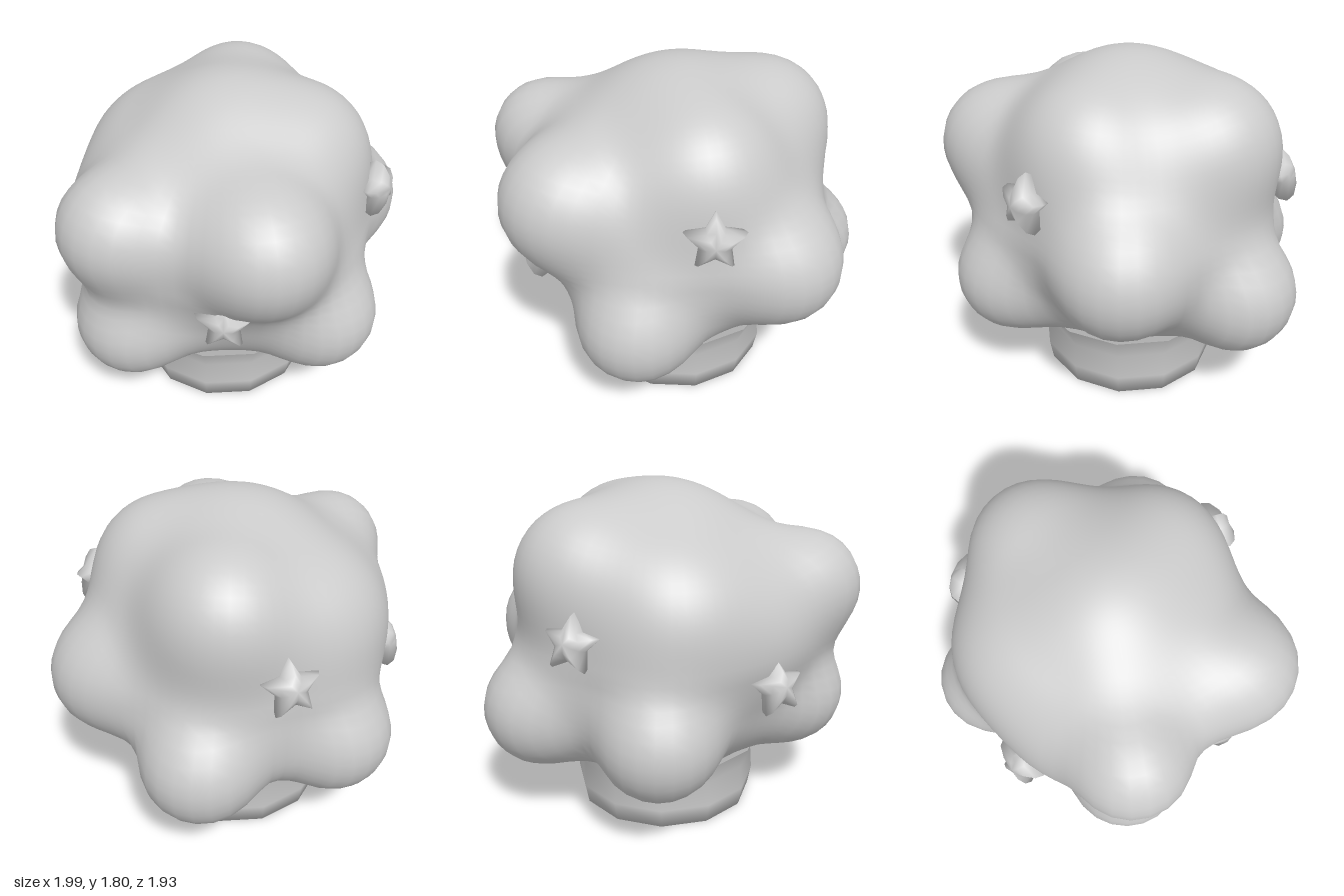
import * as THREE from 'three';
import { mergeVertices } from 'three/addons/utils/BufferGeometryUtils.js';

const material = new THREE.MeshStandardMaterial({ color: 0xcccccc });
const CORE = new THREE.Vector3(0.05, 1.0, 0);
const CORE_RADIUS = 0.67;
const UNDERSIDE = 0.36;
const BLEND = 0.25;
const TAPER = 0.13; // how much wider a lobe is at its root

// Rounded lobes pushed out of the core: centre x, y, z and radius
const LOBES = [
  [0.05, 0.72, 0, 0.56],      // belly above the trunk
  [0.05, 0.65, 0.65, 0.31],   // low front
  [0.05, 0.65, -0.66, 0.31],  // low back
  [-0.63, 0.65, -0.03, 0.31], // low side
  [0.68, 0.66, -0.33, 0.31],  // low rear corner
  [0.68, 0.92, 0.3, 0.32],    // middle front corner
  [-0.69, 1.25, -0.03, 0.3],  // high side
  [-0.33, 1.24, 0.57, 0.33],  // high front
  [-0.35, 1.1, -0.3, 0.27],   // high rear corner
  [0.29, 1.4, 0.31, 0.31],    // crown front
  [0.45, 1.39, -0.28, 0.33],  // crown rear
  [-0.01, 1.22, -0.45, 0.32], // crown back
  [0.05, 1.43, 0, 0.3],       // apex
].map(([x, y, z, r]) => ({ axis: new THREE.Vector3(x, y, z).sub(CORE), r }));

const smoothMin = (a, b, k) => {
  const h = Math.max(k - Math.abs(a - b), 0) / k;
  return Math.min(a, b) - h * h * k * 0.25;
};

// Distance to the foliage: core ball blended with tapered lobes, flat underneath
function foliageDistance(p) {
  const rel = p.clone().sub(CORE);
  let d = rel.length() - CORE_RADIUS;
  for (const { axis, r } of LOBES) {
    const t = THREE.MathUtils.clamp(rel.dot(axis) / axis.lengthSq(), 0, 1);
    const nearest = axis.clone().multiplyScalar(t);
    d = smoothMin(d, rel.distanceTo(nearest) - r - TAPER * (1 - t), BLEND);
  }
  return Math.max(d, UNDERSIDE - p.y);
}

// Foliage: a ball whose vertices are moved along their rays onto the surface
function foliageGeometry() {
  const ball = new THREE.SphereGeometry(1, 72, 54);
  ball.deleteAttribute('uv');
  ball.deleteAttribute('normal');
  const geometry = mergeVertices(ball, 1e-4);
  const pos = geometry.attributes.position;
  const dir = new THREE.Vector3();
  const p = new THREE.Vector3();
  for (let i = 0; i < pos.count; i++) {
    dir.fromBufferAttribute(pos, i).normalize();
    let r = 1.5;
    for (let step = 0; step < 80; step++) {
      p.copy(CORE).addScaledVector(dir, r);
      const d = foliageDistance(p);
      if (d < 0.0005) break;
      r -= d * 0.8;
    }
    p.copy(CORE).addScaledVector(dir, r);
    pos.setXYZ(i, p.x, p.y, p.z);
  }
  geometry.computeVertexNormals();
  return geometry;
}

// Star: a flattened ball with every second meridian pulled in
function starGeometry() {
  const ball = new THREE.SphereGeometry(1, 10, 6);
  ball.deleteAttribute('uv');
  ball.deleteAttribute('normal');
  const geometry = mergeVertices(ball, 1e-4);
  geometry.rotateX(Math.PI / 2).rotateZ(Math.PI / 10);
  const pos = geometry.attributes.position;
  for (let i = 0; i < pos.count; i++) {
    const x = pos.getX(i), y = pos.getY(i);
    const isTip = Math.cos(5 * (Math.atan2(y, x) - Math.PI / 2)) > 0;
    const s = isTip ? 0.155 : 0.08;
    pos.setXYZ(i, x * s, y * s, pos.getZ(i) * 0.08);
  }
  geometry.computeVertexNormals();
  return geometry;
}

export function createModel() {
  const group = new THREE.Group();
  const add = (name, geometry) => {
    const mesh = new THREE.Mesh(geometry, material);
    mesh.name = name;
    group.add(mesh);
    return mesh;
  };

  add('foliage', foliageGeometry());

  // Trunk with a slightly swollen foot and flared neck
  const profile = [[0, 0], [0.49, 0], [0.51, 0.11], [0.5, 0.25], [0.55, 0.37]]
    .map(([r, y]) => new THREE.Vector2(r, y));
  const trunk = add('trunk', new THREE.LatheGeometry(profile, 12));
  trunk.position.x = 0.05;
  trunk.scale.z = 0.96;

  // Stars: position, then the direction each one faces
  const star = starGeometry();
  [
    [[0.44, 1.25, 0.68], [0.3, 0.1, 0.95]],
    [[-0.54, 0.88, 0.52], [-0.75, 0.1, 0.6]],
    [[-0.52, 0.9, -0.57], [-0.55, 0.3, -0.75]],
    [[0.45, 1.16, -0.69], [0.4, 0.3, -0.85]],
  ].forEach(([at, facing], i) => {
    const mesh = add(`star${i + 1}`, star);
    mesh.position.set(...at);
    mesh.lookAt(new THREE.Vector3(...at).add(new THREE.Vector3(...facing)));
  });

  return group;
}
